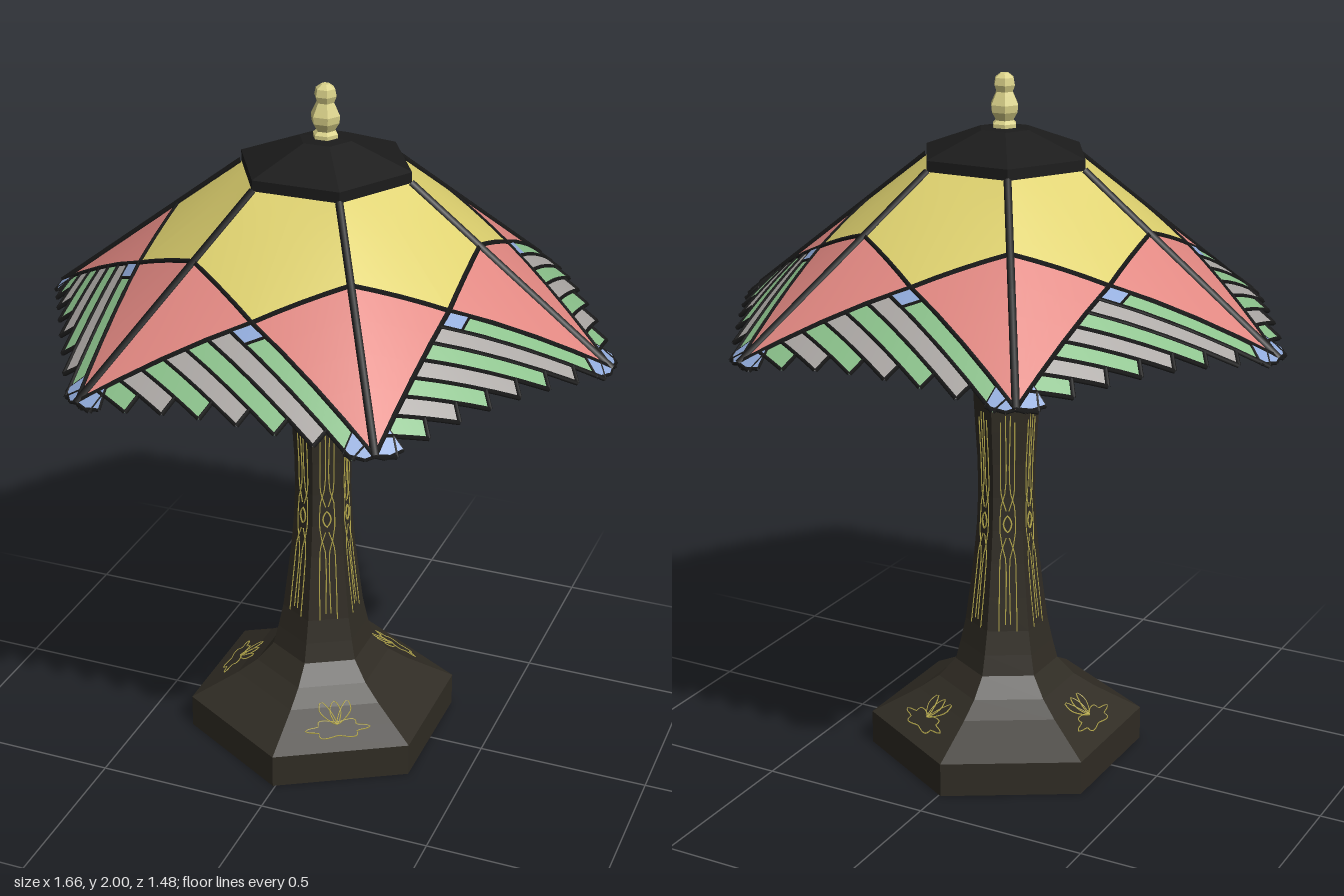
import * as THREE from 'three';
import { mergeGeometries } from 'three/addons/utils/BufferGeometryUtils.js';

const mat = (color, extra = {}) => new THREE.MeshStandardMaterial({ color, ...extra });
const glass = (color) => mat(color, { side: THREE.DoubleSide });
const YELLOW = glass(0xddd06e), RED = glass(0xdf8680), GREEN = glass(0x8ac08a);
const GREY = glass(0xaaa6a3), BLUE = glass(0x8fa9d9);
const LEAD = mat(0x191919), CAP = mat(0x1b1b1b, { flatShading: true });
const BRONZE = mat(0x302c24, { flatShading: true }), GOLD = mat(0xc9bb55);
const BRASS = mat(0xd8d088, { flatShading: true }), BULB = mat(0xcccccc);

function add(group, name, geometry, material) {
  const mesh = new THREE.Mesh(geometry, material);
  mesh.name = name;
  group.add(mesh);
  return mesh;
}

// Solid of revolution; profile is [radius, height] from bottom to top
const lathe = (profile, sides, start = 0) =>
  new THREE.LatheGeometry(profile.map(([r, y]) => new THREE.Vector2(r, y)), sides, start);

// Thin wire through 3D points
const wire = (points, radius, steps, sides = 4, closed = false) =>
  new THREE.TubeGeometry(new THREE.CatmullRomCurve3(points, closed), steps, radius, sides, closed);

// ---- Shade: panel coordinates are u (sideways) and d (distance out from the axis) ----
function onPanel(u, d, lift = 0) {
  const edge = Math.min(1, Math.abs(u) / (d * Math.tan(Math.PI / 6)));
  const bulge = 0.05 * Math.max(0, (d - 0.212) / 0.5) * (1 - edge * edge);
  return new THREE.Vector3(u, 1.755 - (d - 0.212) * 0.8936 + bulge + lift, d);
}

// Four-cornered pane laid on the panel
function pane(a, b, c, d, n = 5, lift = 0) {
  const g = new THREE.PlaneGeometry(1, 1, n, n);
  const pos = g.attributes.position;
  for (let i = 0; i < pos.count; i++) {
    const s = pos.getX(i) + 0.5, t = pos.getY(i) + 0.5;
    const mix = (k) => (1 - t) * ((1 - s) * a[k] + s * b[k]) + t * ((1 - s) * d[k] + s * c[k]);
    const p = onPanel(mix(0), mix(1), lift);
    pos.setXYZ(i, p.x, p.y, p.z);
  }
  g.computeVertexNormals();
  return g;
}

// Lead came along straight runs of the panel
function came(points, radius = 0.0065) {
  return points.slice(1).map((b, i) => {
    const a = points[i], run = [];
    for (let k = 0; k <= 4; k++) {
      run.push(onPanel(a[0] + (b[0] - a[0]) * k / 4, a[1] + (b[1] - a[1]) * k / 4));
    }
    return wire(run, radius, 4);
  });
}

function makePanel() {
  const panel = new THREE.Group();
  panel.name = 'shadePanel';
  const valley = [0, 0.51];
  const yellow = [], red = [], blue = [], leads = [], bands = [[], []];

  // Upper panes, star points and corner chips, mirrored
  for (const m of [-1, 1]) {
    const top = [m * 0.122, 0.212], ridge = [m * 0.22, 0.381], corner = [m * 0.41, 0.71];
    yellow.push(pane(top, [0, 0.212], valley, ridge));
    red.push(pane(ridge, valley, corner, corner));
    leads.push(...came([ridge, valley, corner], 0.008));
    const chip = [[m * 0.41, 0.71], [m * 0.34, 0.68], [m * 0.335, 0.73], [m * 0.39, 0.725]];
    blue.push(pane(...chip, 2, 0.005));
    leads.push(...came([...chip, chip[0]], 0.005));
  }
  const diamond = [valley, [0.05, 0.535], [0, 0.56], [-0.05, 0.535]];
  blue.push(pane(...diamond, 2, 0.005));
  leads.push(...came([...diamond, valley], 0.005));

  // Slanting border bands with stepped ends
  const dir = [0.899, 0.438], s0 = 0.4585, width = 0.045, count = 8;
  const at = (s, t) => [-dir[1] * s + dir[0] * t, dir[0] * s + dir[1] * t];
  for (let k = 0; k < count; k++) {
    const s = s0 + k * width;
    const start = (f) => [-0.41 * f, 0.51 + 0.2 * f];
    const end = (0.715 - dir[0] * (s + width / 2)) / dir[1];
    const a = start(k / count), b = at(s, end), c = at(s + width, end), d = start((k + 1) / count);
    bands[k % 2].push(pane(a, b, c, d));
    leads.push(...came([a, b, c, d]));
  }

  // Ridge bar along one side of the panel
  leads.push(wire([onPanel(0.122, 0.212), onPanel(0.41, 0.71)], 0.011, 2, 6));

  add(panel, 'upperGlass', mergeGeometries(yellow), YELLOW);
  add(panel, 'starGlass', mergeGeometries(red), RED);
  add(panel, 'greenBands', mergeGeometries(bands[0]), GREEN);
  add(panel, 'greyBands', mergeGeometries(bands[1]), GREY);
  add(panel, 'accentGlass', mergeGeometries(blue), BLUE);
  add(panel, 'leadCames', mergeGeometries(leads), LEAD);
  return panel;
}

// ---- Stand: six-sided profile, corner radius and height ----
const STAND = [[0.4, 0], [0.4, 0.1], [0.325, 0.14], [0.26, 0.175], [0.2, 0.215], [0.15, 0.27],
  [0.135, 0.33], [0.12, 0.4], [0.107, 0.5], [0.095, 0.6], [0.086, 0.7], [0.082, 0.8],
  [0.084, 0.9], [0.09, 1.0], [0.098, 1.15]];

// Point on the flat of a stand side, v sideways
function onStand(v, y) {
  const i = Math.max(1, STAND.findIndex((p) => p[1] >= y && p[1] > 0));
  const [r0, y0] = STAND[i - 1], [r1, y1] = STAND[i];
  const r = r0 + (r1 - r0) * (y - y0) / (y1 - y0);
  return new THREE.Vector3(v, y, r * Math.cos(Math.PI / 6) + 0.001);
}

// Paired lines parting round a diamond
function columnInlay() {
  const parts = [];
  for (const m of [-1, 1]) {
    const inner = [[0.007, 0.42], [0.007, 0.62], [0.02, 0.67], [0.022, 0.72], [0.02, 0.77], [0.007, 0.82], [0.007, 1.05]];
    const low = [[0.026, 0.4], [0.024, 0.55], [0.02, 0.63], [0.004, 0.68]];
    const high = [[0.004, 0.76], [0.018, 0.81], [0.02, 0.9], [0.02, 1.03]];
    for (const line of [inner, low, high]) {
      parts.push(wire(line.map(([v, y]) => onStand(m * v, y)), 0.002, 16, 3));
    }
  }
  const diamond = [[0, 0.695], [0.012, 0.72], [0, 0.745], [-0.012, 0.72]];
  parts.push(wire(diamond.map(([v, y]) => onStand(v, y)), 0.003, 12, 3, true));
  return mergeGeometries(parts);
}

// Flower outline with a scalloped leaf border
function footInlay() {
  const leaf = [], parts = [];
  for (let i = 0; i < 32; i++) {
    const a = i / 32 * Math.PI * 2, k = 1 + 0.2 * Math.cos(6 * a);
    leaf.push(onStand(0.08 * k * Math.cos(a), 0.138 + 0.014 * k * Math.sin(a)));
  }
  parts.push(wire(leaf, 0.002, 64, 3, true));
  for (const lean of [-0.03, 0, 0.03]) {
    const petal = [[0, 0.145], [lean - 0.016, 0.168], [lean * 1.3, 0.186], [lean + 0.016, 0.168]];
    parts.push(wire(petal.map(([v, y]) => onStand(v, y)), 0.002, 16, 3, true));
  }
  return mergeGeometries(parts);
}

export function createModel() {
  const model = new THREE.Group();
  model.name = 'tableLamp';

  // Foot and column, collar and neck
  const stand = new THREE.Group();
  stand.name = 'stand';
  stand.position.x = -0.007;
  model.add(stand);
  add(stand, 'footAndColumn', lathe([[0, 0], ...STAND, [0, 1.15]], 6), BRONZE);
  add(stand, 'collar', lathe([[0, 1.15], [0.108, 1.15], [0.108, 1.175], [0, 1.175]], 6), BRONZE);
  add(stand, 'neck', lathe([[0.06, 1.175], [0.064, 1.21], [0.05, 1.235], [0.06, 1.26], [0.062, 1.28],
    [0.05, 1.34], [0.042, 1.39], [0, 1.39]], 12), BRONZE);
  for (let i = 0; i < 6; i++) {
    const turn = Math.PI / 6 + i * Math.PI / 3;
    add(stand, 'columnInlay', columnInlay(), GOLD).rotation.y = turn;
    if (i % 2 === 0) add(stand, 'footInlay', footInlay(), GOLD).rotation.y = turn;
  }

  // Socket and bulb
  add(model, 'socket', lathe([[0.045, 1.385], [0.045, 1.4], [0.035, 1.425], [0, 1.425]], 12), BRASS);
  add(model, 'bulb', new THREE.SphereGeometry(0.09, 24, 16), BULB).position.y = 1.5;

  // Six shade panels
  const shade = new THREE.Group();
  shade.name = 'shade';
  model.add(shade);
  const panel = makePanel();
  for (let i = 0; i < 6; i++) {
    const copy = panel.clone();
    copy.rotation.y = i * Math.PI / 3;
    shade.add(copy);
  }

  // Cap and finial
  add(model, 'cap', lathe([[0, 1.755], [0.247, 1.755], [0.247, 1.785], [0.075, 1.85], [0, 1.855]], 6, Math.PI / 2), CAP);
  add(model, 'finial', lathe([[0.036, 1.85], [0.036, 1.863], [0.026, 1.872], [0.04, 1.895], [0.042, 1.915],
    [0.03, 1.94], [0.025, 1.95], [0.032, 1.968], [0.028, 1.988], [0.012, 2], [0, 2]], 6, Math.PI / 2), BRASS);
  return model;
}
